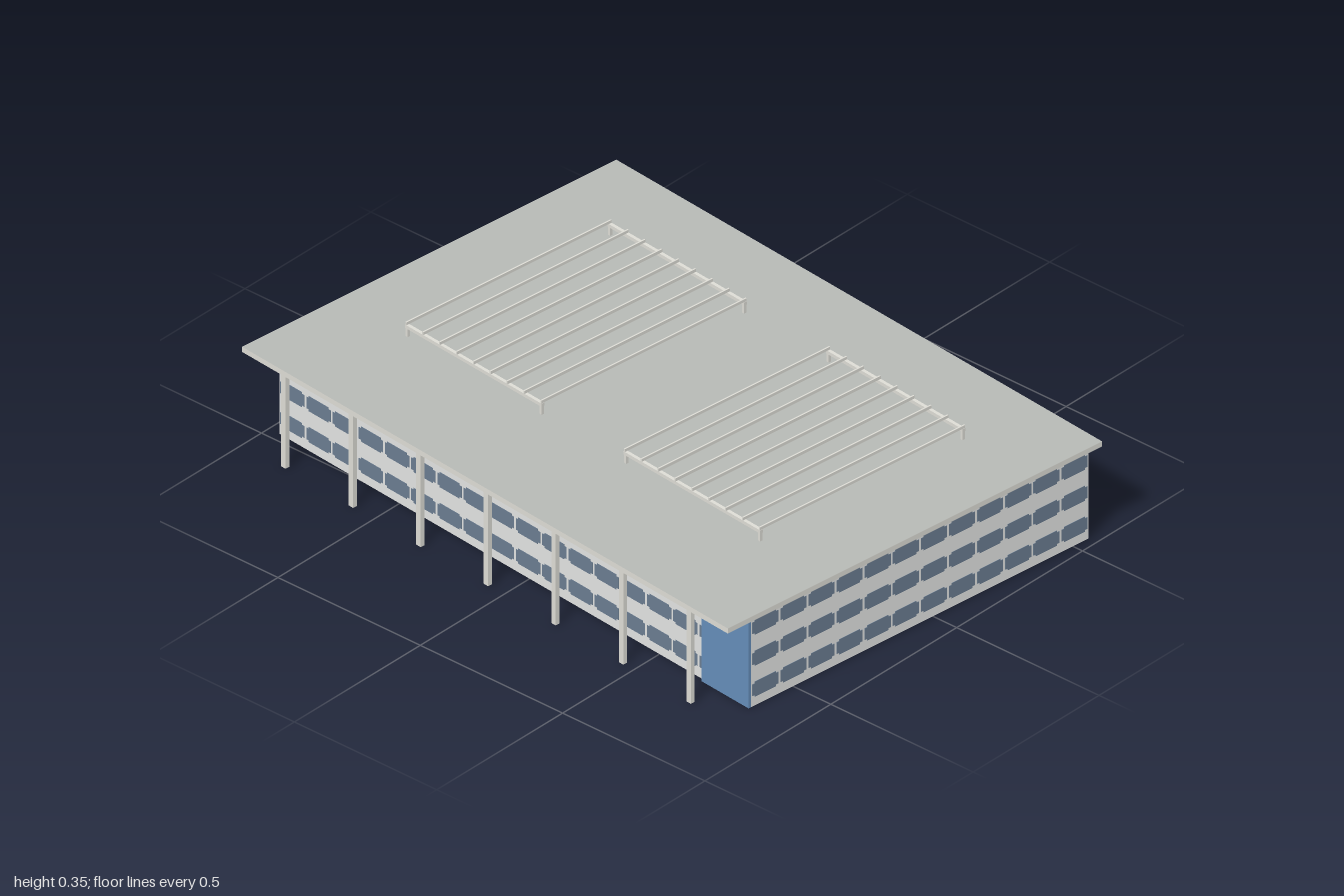
import * as THREE from 'three';
import { mergeGeometries } from 'three/addons/utils/BufferGeometryUtils.js';

const mat = (name, color) => {
  const m = new THREE.MeshStandardMaterial({ color });
  m.name = name;
  return m;
};

export function createModel() {
  const wallMat = mat('pale wall', 0xe2e3e2);
  const glassMat = mat('window glass', 0x6a7c90);
  const blueMat = mat('blue panel', 0x648db8);
  const roofMat = mat('roof grey', 0xb6b9b5);
  const trimMat = mat('light trim', 0xdddcd5);

  const model = new THREE.Group();
  model.name = 'officeBuilding';
  // the whole block stands slightly turned
  const block = new THREE.Group();
  block.name = 'block';
  block.rotation.y = -0.0983;
  model.add(block);

  const addMesh = (parent, name, geo, material) => {
    const m = new THREE.Mesh(geo, material);
    m.name = name;
    parent.add(m);
    return m;
  };
  const box = (parent, name, material, size, pos) => {
    const m = addMesh(parent, name, new THREE.BoxGeometry(...size), material);
    m.position.set(...pos);
    return m;
  };

  const X = 0.912, ZF = 0.563, ZB = -0.648, H = 0.29, ENTRY = 0.73;
  const WALL = 0.006, STOREY = H / 3;

  // stepped window outline: a taller middle with shorter ends
  const windowPlate = (w) => {
    const a = w / 2, b = w / 2 - 0.009, h = 0.018, k = 0.0235;
    const s = new THREE.Shape([
      [-a, -h], [-b, -h], [-b, -k], [b, -k], [b, -h], [a, -h],
      [a, h], [b, h], [b, k], [-b, k], [-b, h], [-a, h],
    ].map(([x, y]) => new THREE.Vector2(x, y)));
    const g = new THREE.ExtrudeGeometry(s, { depth: 0.0084, bevelEnabled: false });
    return g.translate(0, 0, -0.0042);
  };

  // a thin wall with three rows of windows showing on both faces
  const addWall = (name, length, count, x, z, angle) => {
    const side = new THREE.Group();
    side.name = name;
    side.position.set(x, 0, z);
    side.rotation.y = angle;
    block.add(side);
    box(side, name + 'Panel', wallMat, [length, H, WALL], [0, H / 2, 0]);
    const pitch = length / count, plates = [];
    for (let row = 0; row < 3; row++) {
      for (let i = 0; i < count; i++) {
        plates.push(windowPlate(pitch - 0.008)
          .translate(-length / 2 + (i + 0.5) * pitch, row * STOREY + 0.051, 0));
      }
    }
    addMesh(side, name + 'Windows', mergeGeometries(plates), glassMat);
  };
  const depth = ZF - ZB, midZ = (ZF + ZB) / 2;
  addWall('frontWall', 2 * X, 18, 0, ZF - WALL / 2, 0);
  addWall('backWall', 2 * X, 18, 0, ZB + WALL / 2, Math.PI);
  addWall('leftWall', depth, 12, X - WALL / 2, midZ, Math.PI / 2);
  addWall('rightWall', depth, 12, -X + WALL / 2, midZ, -Math.PI / 2);

  // blue entrance panel laid over the front corner
  box(block, 'entrancePanel', blueMat, [X - ENTRY, H, 0.009],
    [(X + ENTRY) / 2, H / 2, ZF + 0.0045]);

  // flat overhanging roof: grey top, light edge and underside
  const roof = box(block, 'roof', roofMat, [1.879, 0.016, 1.344], [0, H + 0.008, 0]);
  roof.material = [trimMat, trimMat, roofMat, trimMat, trimMat, trimMat];

  // row of columns under the front overhang
  for (let i = 0; i < 7; i++) {
    box(block, 'column', trimMat, [0.017, H, 0.014], [-0.784 + i * 0.2613, H / 2, 0.661]);
  }

  // two rooftop pergolas: corner posts, cross beams, slats
  const roofY = H + 0.016, zMin = -0.416, zMax = 0.321;
  for (const s of [-1, 1]) {
    const pergola = new THREE.Group();
    pergola.name = 'pergola';
    pergola.position.x = s * 0.4225;
    block.add(pergola);
    const half = 0.264;
    for (const z of [zMin + 0.005, zMax - 0.005]) {
      box(pergola, 'beam', trimMat, [2 * half, 0.01, 0.01], [0, 0.336, z]);
      for (const x of [-half + 0.005, half - 0.005]) {
        box(pergola, 'post', trimMat, [0.009, 0.332 - roofY, 0.009], [x, (0.332 + roofY) / 2, z]);
      }
    }
    for (let i = 0; i < 9; i++) {
      box(pergola, 'slat', trimMat, [0.0045, 0.009, zMax - zMin],
        [-half + 0.003 + i * (2 * half - 0.006) / 8, 0.3455, (zMin + zMax) / 2]);
    }
  }
  return model;
}
